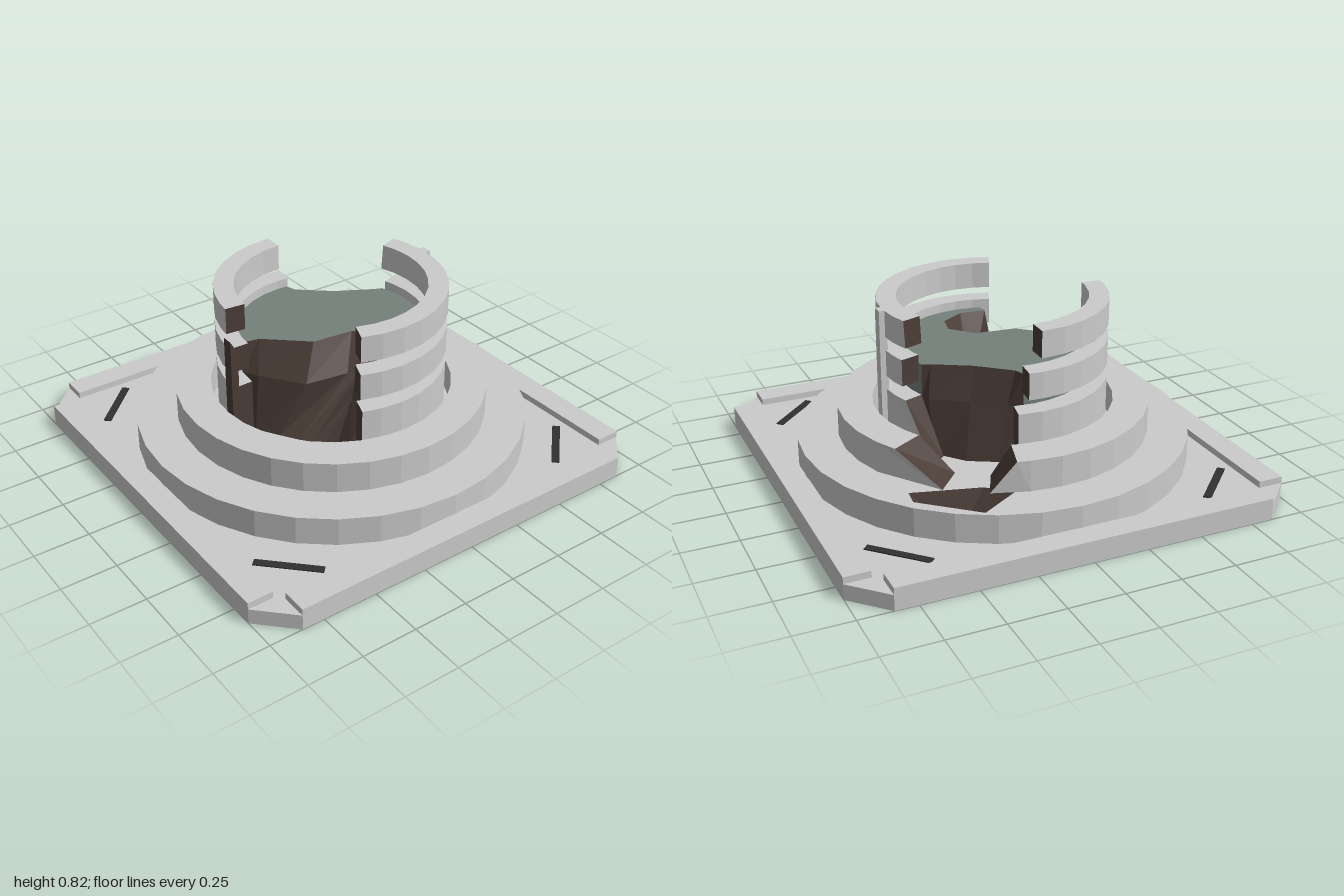
import * as THREE from 'three';

const stone = new THREE.MeshStandardMaterial({ color: 0xcccccc, flatShading: true });
const core = new THREE.MeshStandardMaterial({ color: 0x75807a, flatShading: true });
const broken = new THREE.MeshStandardMaterial({ color: 0x4a3c36, flatShading: true, side: THREE.DoubleSide });
const dark = new THREE.MeshStandardMaterial({ color: 0x303030 });
const STEP = 360 / 32;

const polar = (r, deg, y = 0) => {
  const a = THREE.MathUtils.degToRad(deg);
  return [r * Math.cos(a), y, r * Math.sin(a)];
};

// Angles from a0 to a1, snapped to the common facets in between
function angles(a0, a1) {
  const list = [a0];
  for (let a = Math.ceil((a0 + 1) / STEP) * STEP; a < a1 - 1; a += STEP) list.push(a);
  return [...list, a1];
}

// Quads between successive rows of points
function loft(rows, closed = false) {
  const pos = [];
  for (let i = 0; i < rows.length - 1; i++) {
    const n = rows[i].length;
    for (let j = 0; j < (closed ? n : n - 1); j++) {
      const k = (j + 1) % n;
      const a = rows[i][j], b = rows[i][k], c = rows[i + 1][k], d = rows[i + 1][j];
      pos.push(...a, ...b, ...c, ...a, ...c, ...d);
    }
  }
  const g = new THREE.BufferGeometry();
  g.setAttribute('position', new THREE.Float32BufferAttribute(pos, 3));
  g.computeVertexNormals();
  return g;
}

// Outline in x/z to a shape that lies flat once turned about x
const flatShape = (pts) => new THREE.Shape(pts.map(([x, z]) => new THREE.Vector2(x, -z)));

function slab(shape, y0, y1) {
  const g = new THREE.ExtrudeGeometry(shape, { depth: y1 - y0, bevelEnabled: false });
  return g.rotateX(-Math.PI / 2).translate(0, y0, 0);
}

export function createModel() {
  const model = new THREE.Group();
  const add = (name, geometry, material = stone, parent = model) => {
    const m = new THREE.Mesh(geometry, material);
    m.name = name;
    parent.add(m);
    return m;
  };

  // Ring piece with broken ends; b0 and b1 are the end angles at its foot
  function ringPiece(name, rIn, rOut, y0, y1, a0, a1, b0 = a0, b1 = a1) {
    const group = new THREE.Group();
    group.name = name;
    model.add(group);
    const lo = Math.max(a0, b0), hi = Math.min(a1, b1);
    const top = [a0, ...angles(lo, hi).slice(1, -1), a1];
    const foot = [b0, ...top.slice(1, -1), b1];
    const rows = top.map((a, i) => [
      polar(rIn, foot[i], y0), polar(rOut, foot[i], y0), polar(rOut, a, y1), polar(rIn, a, y1),
    ]);
    add('ringWall', loft(rows, true), stone, group);
    for (const r of [rows[0], rows[rows.length - 1]])
      add('brokenEnd', loft([[r[0], r[1]], [r[3], r[2]]]), broken, group);
  }

  // Square base with cut corners, raised rims and corner slots
  const c = 0.85;
  add('basePlate', slab(flatShape([[-c, 1], [c, 1], [1, c], [1, -c], [c, -1], [-c, -1], [-1, -c], [-1, c]]), 0, 0.07));
  for (let i = 0; i < 4; i++) {
    const turn = (i * Math.PI) / 2;
    add('baseRim', new THREE.BoxGeometry(1.7, 0.1, 0.115).translate(0, 0.05, 0.9425).rotateY(turn));
    add('cornerSlot', new THREE.BoxGeometry(0.29, 0.01, 0.035).translate(0, 0.07, 1.035).rotateY(turn + Math.PI / 4), dark);
  }

  // Lower tier with a crater broken out of its top
  const crater = [[0.2, -0.67], [0.38, -0.78], [0.61, -0.58], [0.6, -0.5], [0.3, -0.58]];
  const disc = flatShape(angles(0, 360).slice(0, -1).map((a) => {
    const p = polar(0.888, a);
    return [p[0], p[2]];
  }));
  disc.holes.push(new THREE.Path(crater.map(([x, z]) => new THREE.Vector2(x, -z))));
  add('lowerTier', slab(disc, 0.07, 0.2));
  add('craterWall', loft([
    crater.map(([x, z]) => [x, 0.2, z]),
    crater.map(([x, z]) => [0.42 + (x - 0.42) * 0.5, 0.11, -0.61 + (z + 0.61) * 0.5]),
    crater.map(() => [0.42, 0.1, -0.61]),
  ], true), broken);

  // Upper tier, open where it has collapsed
  ringPiece('upperTier', 0.545, 0.705, 0.2, 0.34, -31, 286, -49, 295);

  // Three tower bands, each in two pieces around the breaches
  const bands = [
    { y0: 0.2, y1: 0.46, near: -20, foot: -36, front: 111, back: 179, far: 282 },
    { y0: 0.52, y1: 0.64, near: -18, foot: -18, front: 112, back: 182, far: 277 },
    { y0: 0.7, y1: 0.82, near: -20, foot: -21, front: 112, back: 185, far: 271 },
  ];
  for (const b of bands) {
    ringPiece('towerBandFront', 0.425, 0.515, b.y0, b.y1, b.near, b.front, b.foot, b.front);
    ringPiece('towerBandBack', 0.425, 0.515, b.y0, b.y1, b.back, b.far);
  }

  // Upright ribs, the one on the right snapped off
  add('leftRib', new THREE.BoxGeometry(0.035, 0.62, 0.05).translate(0.52, 0.51, 0));
  const snapped = add('rightRib', new THREE.BoxGeometry(0.035, 0.46, 0.05).translate(-0.52, 0.43, 0), broken);
  const p = snapped.geometry.attributes.position;
  for (let i = 0; i < p.count; i++)
    if (p.getY(i) > 0.6) p.setY(i, p.getX(i) < -0.52 ? 0.7 : 0.64);

  // Inner core: two round walls joined by two broken faces
  const levels = [0.6, 0.45, 0.2];
  const arc = (a0, a1) => levels.map((y) => angles(a0, a1).map((a) => polar(0.422, a, y)));
  const frontArc = arc(-20, 106), backArc = arc(193, 276);
  const row = (pts, y) => pts.map(([x, z]) => [x, y, z]);
  const pit = [
    [[-0.12, 0.36], [0, 0.37], [0.11, 0.3], [0.13, 0.2], [0.04, 0.1], [-0.15, 0.08], [-0.33, -0.08]],
    [[-0.15, 0.36], [-0.05, 0.28], [0.02, 0.26], [0.02, 0.2], [-0.04, 0.18], [-0.24, 0.15], [-0.37, -0.03]],
    [[-0.18, 0.38], [-0.21, 0.33], [-0.24, 0.28], [-0.27, 0.23], [-0.3, 0.18], [-0.35, 0.1], [-0.41, 0]],
  ];
  const side = [
    [[0.06, -0.37], [0.2, -0.25], [0.36, -0.16]],
    [[0.1, -0.38], [0.23, -0.28], [0.38, -0.18]],
    [[0.14, -0.4], [0.27, -0.33], [0.37, -0.21]],
  ];
  const last = (a) => a[a.length - 1];
  const pitRows = levels.map((y, i) => [last(frontArc[i]), ...row(pit[i], y), backArc[i][0]]);
  const sideRows = levels.map((y, i) => [last(backArc[i]), ...row(side[i], y), frontArc[i][0]]);
  add('coreFrontWall', loft(frontArc), core);
  add('coreBackWall', loft(backArc), core);
  add('corePit', loft(pitRows), broken);
  add('coreBrokenSide', loft(sideRows), broken);
  const outline = [frontArc[0], row(pit[0], 0.6), backArc[0], row(side[0], 0.6)].flat();
  const cap = new THREE.ShapeGeometry(flatShape(outline.map((q) => [q[0], q[2]])));
  add('coreTop', cap.rotateX(-Math.PI / 2).translate(0, 0.6, 0), core);

  return model;
}
